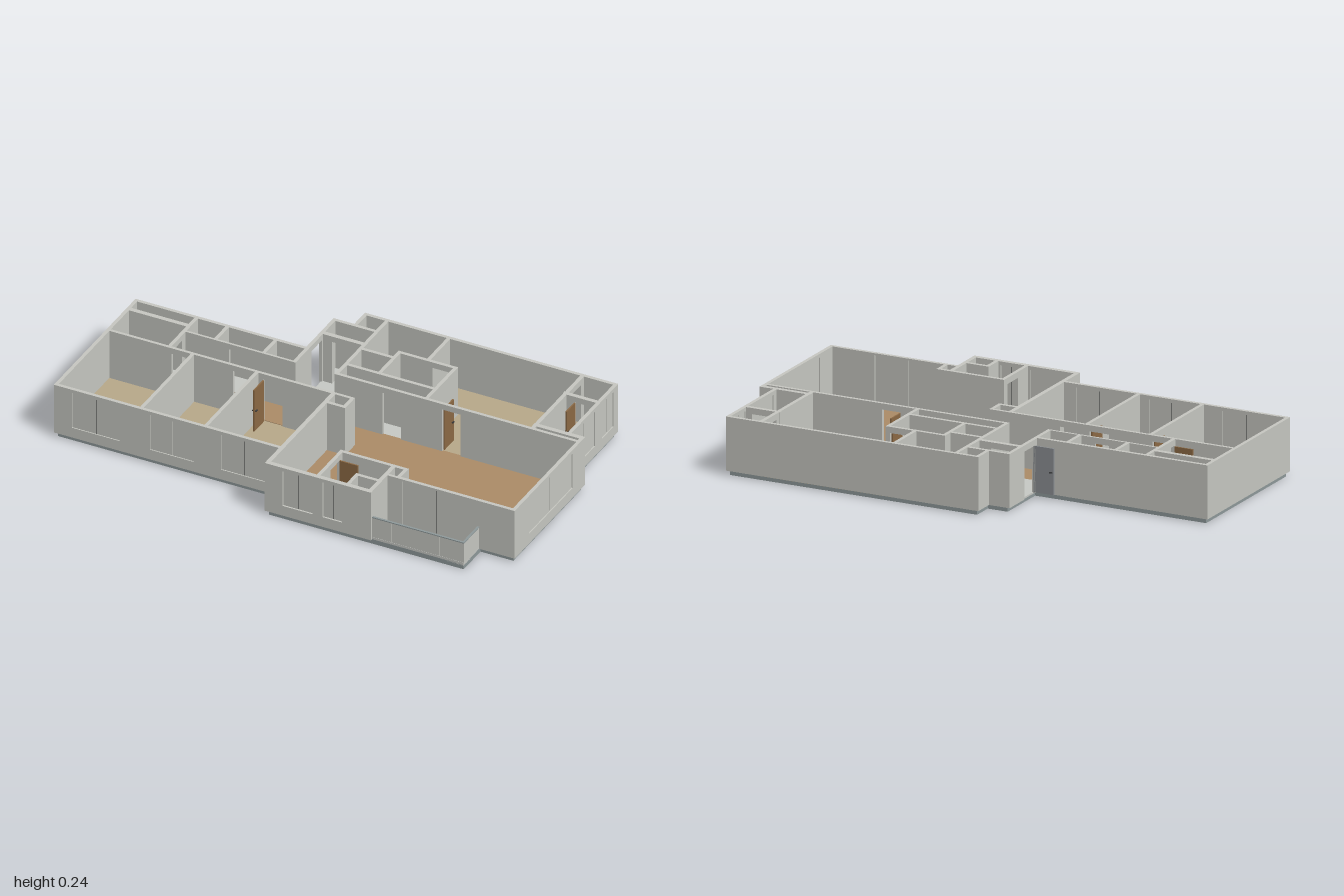
import * as THREE from 'three';

const BASE = 0.02, TOP = 0.24;

export function createModel() {
  const model = new THREE.Group();
  const mat = (name, color) => {
    const m = new THREE.MeshStandardMaterial({ color });
    m.name = name;
    return m;
  };
  const plaster = mat('plaster', 0xc7c8c2);
  const tile = mat('tile', 0xc8cac5);
  const carpet = mat('tanFloor', 0xb8a98a);
  const wood = mat('woodFloor', 0xac8c68);
  const slate = mat('slabSlate', 0x8f9a9b);
  const doorBrown = mat('doorBrown', 0x8c6a45);
  const doorGrey = mat('doorGrey', 0x8c9094);
  const metal = mat('darkMetal', 0x3a3b3c);

  const box = (parent, name, material, x0, x1, y0, y1, z0, z1) => {
    const mesh = new THREE.Mesh(new THREE.BoxGeometry(x1 - x0, y1 - y0, z1 - z0), material);
    mesh.position.set((x0 + x1) / 2, (y0 + y1) / 2, (z0 + z1) / 2);
    mesh.name = name;
    parent.add(mesh);
  };

  // Flat plate from an outline of [x, z] points
  const plate = (name, material, points, y0, y1) => {
    const shape = new THREE.Shape(points.map(([x, z]) => new THREE.Vector2(x, z)));
    const geo = new THREE.ExtrudeGeometry(shape, { depth: y1 - y0, bevelEnabled: false });
    geo.rotateX(Math.PI / 2);
    const mesh = new THREE.Mesh(geo, material);
    mesh.position.y = y1;
    mesh.name = name;
    model.add(mesh);
  };

  // Straight wall with openings [from, to, bottom, top, glazed] along its length
  const wall = (name, x0, x1, z0, z1, openings = []) => {
    const group = new THREE.Group();
    group.name = name;
    const alongX = x1 - x0 > z1 - z0;
    const part = (n, m, a, b, y0, y1, inset = 0) => alongX
      ? box(group, n, m, a, b, y0, y1, z0 + inset, z1 - inset)
      : box(group, n, m, x0 + inset, x1 - inset, y0, y1, a, b);
    const thick = alongX ? z1 - z0 : x1 - x0;
    let at = alongX ? x0 : z0;
    for (const [a, b, y0, y1, glazed] of openings) {
      part('wallPart', plaster, at, a, BASE, TOP);
      if (y0 > BASE) part('sill', plaster, a, b, BASE, y0);
      part('lintel', plaster, a, b, y1, TOP);
      if (glazed) {
        const mid = (a + b) / 2, inset = thick / 2 - 0.003;
        part('windowPane', plaster, a, mid - 0.001, y0, y1, inset);
        part('windowPane', plaster, mid + 0.001, b, y0, y1, inset);
        part('windowMullion', metal, mid - 0.001, mid + 0.001, y0, y1, inset + 0.001);
      }
      at = b;
    }
    part('wallPart', plaster, at, alongX ? x1 : z1, BASE, TOP);
    model.add(group);
  };
  const win = (a, b) => [a, b, 0.065, 0.225, true];
  const gap = (a, b) => [a, b, BASE, 0.215, false];

  // Base slab, also seen at the bottom of the shafts
  plate('baseSlab', slate, [
    [-0.988, -0.238], [-0.24, -0.238], [-0.24, -0.468], [-0.153, -0.468], [-0.153, -0.557],
    [0.928, -0.557], [0.928, -0.163], [0.988, -0.163], [0.988, 0.408], [0.845, 0.408],
    [0.845, 0.55], [-0.005, 0.55], [-0.005, 0.428], [-0.988, 0.428]], 0, BASE);

  // Room floors: x0, x1, z0, z1
  const floors = (name, material, rects) => rects.forEach(([x0, x1, z0, z1]) =>
    box(model, name, material, x0, x1, 0.016, 0.023, z0, z1));
  floors('bedroomFloor', carpet, [
    [-0.99, -0.625, -0.005, 0.43], [-0.62, -0.345, -0.005, 0.43], [-0.34, -0.015, -0.005, 0.43],
    [0.21, 0.785, -0.56, -0.385], [0.33, 0.785, -0.385, -0.135]]);
  floors('livingFloor', wood, [
    [-0.725, 0, -0.13, -0.008], [0, 0.99, -0.135, -0.008], [0.07, 0.99, -0.008, 0.06],
    [-0.01, 0.99, 0.06, 0.345], [-0.01, 0.205, 0.345, 0.55], [0.49, 0.99, 0.345, 0.41]]);
  floors('tileFloor', tile, [
    [-0.99, -0.73, -0.175, -0.008], [-0.59, -0.385, -0.24, -0.135], [-0.245, -0.065, -0.47, -0.13],
    [-0.06, 0.205, -0.56, -0.385], [-0.06, 0.08, -0.385, -0.34], [0.085, 0.325, -0.38, -0.21],
    [-0.06, 0.325, -0.21, -0.135], [0.79, 0.93, -0.56, -0.165],
    [0.21, 0.43, 0.35, 0.465], [0.21, 0.335, 0.465, 0.55]]);

  // Outer walls
  wall('backWallLeftWing', -1, -0.24, -0.25, -0.235);
  wall('sideWallLeftWing', -1, -0.985, -0.25, 0.44);
  wall('frontWallLeftWing', -1, -0.01, 0.425, 0.44,
    [win(-0.92, -0.71), win(-0.58, -0.39), win(-0.27, -0.07)]);
  wall('entranceWall', -0.255, -0.24, -0.48, -0.235, [gap(-0.355, -0.265)]);
  wall('closetBackWall', -0.255, -0.055, -0.48, -0.465);
  wall('shaftSideWall', -0.165, -0.15, -0.57, -0.465);
  wall('backWall', -0.165, 0.94, -0.57, -0.555);
  wall('sideWallBack', 0.925, 0.94, -0.57, -0.155, [win(-0.53, -0.435), win(-0.375, -0.2)]);
  wall('sideStepWall', 0.78, 1, -0.175, -0.155);
  wall('sideWallLiving', 0.985, 1, -0.175, 0.42, [win(-0.07, 0.3)]);
  wall('balconyDoorWall', 0.48, 1, 0.405, 0.42, [[0.51, 0.8, 0.03, 0.232, true]]);
  wall('frontWall', -0.015, 0.445, 0.54, 0.56, [win(0.06, 0.19), win(0.235, 0.32)]);

  // Inner walls of the left wing
  wall('bathShaftWall', -1, -0.72, -0.185, -0.165);
  wall('bathDoorWall', -0.735, -0.72, -0.25, 0, [gap(-0.1, -0.018)]);
  wall('corridorBackWall', -0.735, -0.24, -0.14, -0.13, [gap(-0.53, -0.45)]);
  for (const x of [-0.6, -0.39, -0.255]) wall('closetDivider', x, x + 0.015, -0.25, -0.13);
  wall('corridorFrontWall', -1, 0.08, -0.013, 0,
    [gap(-0.715, -0.635), gap(-0.445, -0.36), gap(-0.315, -0.23)]);
  for (const x of [-0.63, -0.35]) wall('bedroomDivider', x, x + 0.015, 0, 0.44);
  wall('livingDivider', -0.018, 0, -0.013, 0.56);
  wall('columnSide', 0.065, 0.08, -0.013, 0.07);
  wall('columnFront', -0.015, 0.08, 0.055, 0.07);

  // Inner walls of the back wing
  wall('closetFrontWall', -0.255, -0.055, -0.38, -0.36, [gap(-0.2, -0.12)]);
  wall('hallSideWall', -0.07, -0.055, -0.57, -0.13);
  wall('dressingFrontWall', -0.07, 0.09, -0.345, -0.33);
  wall('bathSideWall', 0.075, 0.09, -0.39, -0.205);
  wall('bathBackWall', 0.075, 0.335, -0.39, -0.375, [gap(0.23, 0.315)]);
  wall('dressingDivider', 0.2, 0.215, -0.57, -0.375);
  wall('bathFrontWall', -0.07, 0.335, -0.22, -0.205);
  wall('masterSideWall', 0.32, 0.335, -0.39, -0.13);
  wall('livingBackWall', -0.07, 1, -0.142, -0.128, [gap(0.14, 0.22), gap(0.4, 0.48)]);
  wall('utilityDivider', 0.782, 0.798, -0.57, -0.13, [gap(-0.53, -0.45)]);
  wall('utilityCrossWall', 0.78, 0.94, -0.428, -0.41, [gap(0.83, 0.9)]);

  // Inner walls of the front kitchen block
  wall('kitchenBackWall', 0.2, 0.495, 0.34, 0.355);
  wall('kitchenDoorWall', 0.2, 0.215, 0.34, 0.56, [gap(0.37, 0.455)]);
  wall('kitchenSideWall', 0.428, 0.445, 0.34, 0.56);
  wall('ductSide', 0.482, 0.497, 0.34, 0.42);
  wall('ductFront', 0.43, 0.497, 0.408, 0.42);
  wall('kitchenShaftSide', 0.33, 0.345, 0.46, 0.56);
  wall('kitchenShaftBack', 0.33, 0.445, 0.46, 0.475);

  // Balcony floor, parapet panels and rail
  box(model, 'balconyFloor', tile, 0.44, 0.845, 0.016, 0.03, 0.415, 0.55);
  for (const [a, b] of [[0.445, 0.529], [0.531, 0.739], [0.741, 0.845]])
    box(model, 'parapetPanel', plaster, a, b, 0.03, 0.118, 0.542, 0.549);
  box(model, 'parapetSide', plaster, 0.838, 0.845, 0.03, 0.118, 0.42, 0.542);
  box(model, 'parapetRail', slate, 0.445, 0.846, 0.118, 0.122, 0.541, 0.55);
  box(model, 'parapetRailSide', slate, 0.837, 0.846, 0.118, 0.122, 0.42, 0.541);

  // Open door leaf from its hinge, turned about y, with a handle on each side
  const door = (name, material, x, z, length, angle) => {
    const group = new THREE.Group();
    group.name = name;
    box(group, 'doorLeaf', material, 0, length, 0.023, 0.212, -0.003, 0.003);
    for (const s of [-1, 1]) {
      const z0 = s > 0 ? 0.003 : -0.009;
      box(group, 'doorHandle', metal, length - 0.018, length - 0.006, 0.112, 0.116, z0, z0 + 0.006);
    }
    group.position.set(x, 0, z);
    group.rotation.y = angle;
    model.add(group);
  };
  const toFront = -Math.PI / 2, toBack = Math.PI / 2;
  door('entranceDoor', doorGrey, -0.245, -0.262, 0.09, Math.PI);
  door('bathDoor', doorBrown, -0.735, -0.019, 0.08, Math.PI);
  for (const x of [-0.637, -0.362, -0.313]) door('bedroomDoor', doorBrown, x, 0, 0.083, toFront);
  door('masterBathDoor', doorBrown, 0.313, -0.378, 0.08, toFront);
  door('masterDoor', doorBrown, 0.402, -0.14, 0.078, toBack);
  door('utilityDoor', doorBrown, 0.832, -0.412, 0.072, toFront);
  door('kitchenDoor', doorBrown, 0.212, 0.372, 0.08, 0);

  return model;
}
